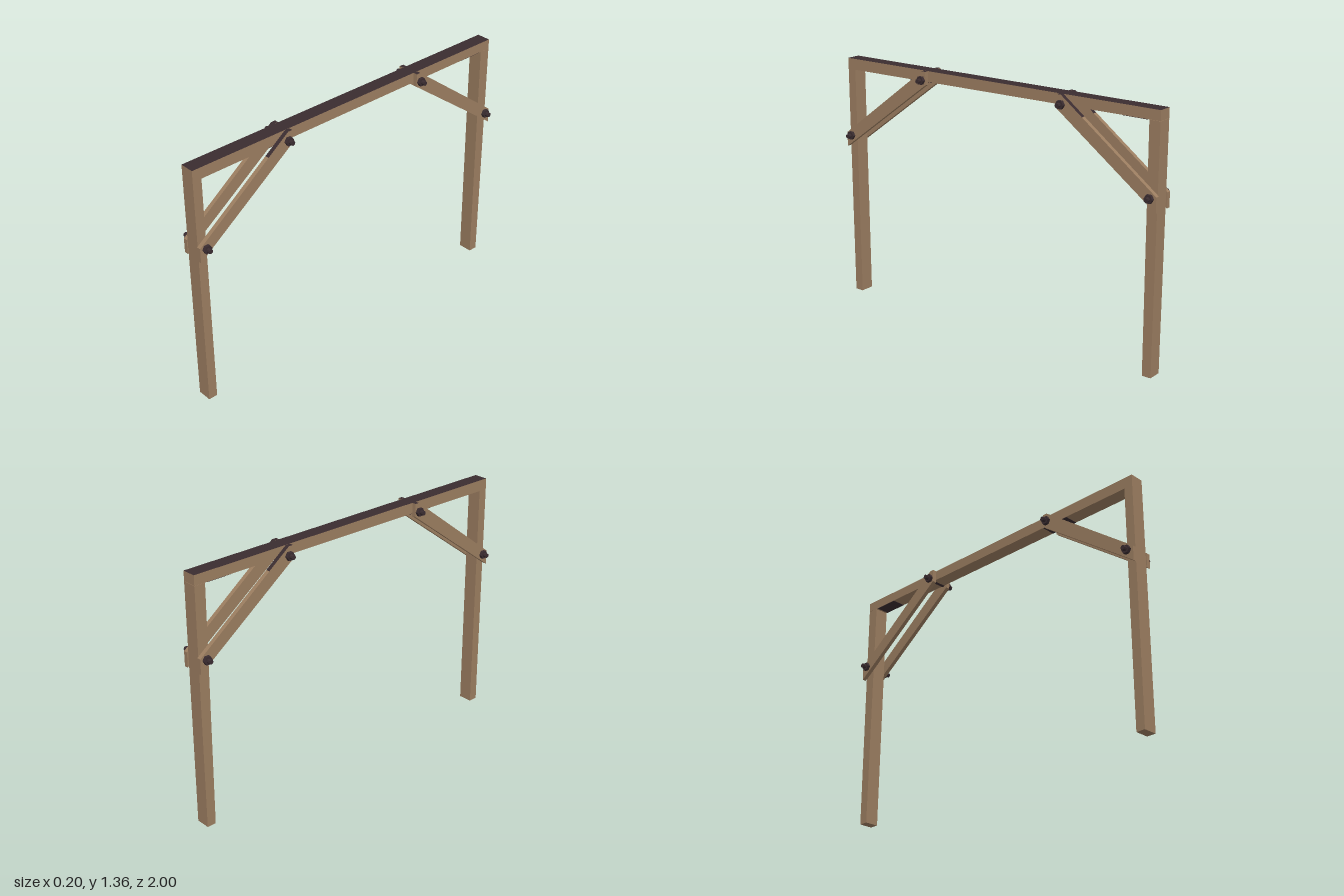
import * as THREE from 'three';

const wood = new THREE.MeshStandardMaterial({ color: 0x9b7d60 });
wood.name = 'wood';
const dark = new THREE.MeshStandardMaterial({ color: 0x3a2c30 });
dark.name = 'darkBrown';

function addMesh(parent, name, geometry, material) {
  const mesh = new THREE.Mesh(geometry, material);
  mesh.name = name;
  parent.add(mesh);
  return mesh;
}

// Box given by its limits: [min, max] on each axis
function boxBetween(x, y, z) {
  const g = new THREE.BoxGeometry(x[1] - x[0], y[1] - y[0], z[1] - z[0]);
  return g.translate((x[0] + x[1]) / 2, (y[0] + y[1]) / 2, (z[0] + z[1]) / 2);
}

// Move every vertex by a rule, then refresh normals
function reshape(geometry, rule) {
  const p = geometry.attributes.position;
  const v = new THREE.Vector3();
  for (let i = 0; i < p.count; i++) {
    rule(v.fromBufferAttribute(p, i));
    p.setXYZ(i, v.x, v.y, v.z);
  }
  geometry.computeVertexNormals();
  return geometry;
}

// Diagonal plank; the upper stretch of its top edge is dark
function braceGeometry(end) {
  const outline = [[1, 0.865], [1, 0.945], [0.57, 1.268], [0.445, 1.362], [0.42, 1.362], [0.42, 1.29]];
  const shape = new THREE.Shape(outline.map(([z, y]) => new THREE.Vector2(z * end, y)));
  const g = new THREE.ExtrudeGeometry(shape, { depth: 0.023, bevelEnabled: false });
  g.rotateY(-Math.PI / 2).translate(0.0115, 0, 0);
  const p = g.attributes.position;
  const n = g.attributes.normal;
  g.clearGroups();
  for (let i = 0; i < p.count; i += 3) {
    const z = Math.abs(p.getZ(i) + p.getZ(i + 1) + p.getZ(i + 2)) / 3;
    g.addGroup(i, 3, n.getY(i) > 0.3 && z < 0.57 ? 1 : 0);
  }
  return g;
}

// Rod through both planks with a hexagonal nut on each side
function bolt(y, z) {
  const group = new THREE.Group();
  group.name = 'bolt';
  const rod = new THREE.CylinderGeometry(0.0125, 0.0125, 0.2, 8).rotateZ(Math.PI / 2);
  addMesh(group, 'boltRod', rod.toNonIndexed(), dark).geometry.computeVertexNormals();
  for (const side of [-1, 1]) {
    const nut = new THREE.CylinderGeometry(0.024, 0.024, 0.017, 6).rotateZ(Math.PI / 2).toNonIndexed();
    nut.computeVertexNormals();
    addMesh(group, 'nut', nut, dark).position.x = side * 0.0715;
  }
  group.position.set(0, y, z);
  return group;
}

export function createModel() {
  const model = new THREE.Group();
  model.name = 'timberFrame';
  const w = [-0.039, 0.039];

  // Top beam, slightly thinner toward the back, with a dark upper face
  const underside = (z) => 1.305 - 0.004 * z;
  const beam = reshape(boxBetween(w, [1.3, 1.362], [-0.993, 0.996]), (v) => {
    if (v.y < 1.33) v.y = underside(v.z);
  });
  addMesh(model, 'topBeam', beam, [wood, wood, dark, wood, wood, wood]);

  // Dark stains under the beam
  for (const [z0, z1] of [[0.4, 0.56], [-0.92, -0.78]]) {
    const y = underside((z0 + z1) / 2);
    addMesh(model, 'beamStain', boxBetween([-0.038, 0.038], [y - 0.002, y + 0.002], [z0, z1]), dark);
  }

  // Posts; the back one widens a little toward the top
  addMesh(model, 'frontPost', boxBetween(w, [0, 1.302], [0.946, 0.996]), wood);
  const backPost = reshape(boxBetween(w, [0, 1.308], [-0.993, -0.943]), (v) => {
    if (v.z > -0.95 && v.y > 1) v.z = -0.932;
  });
  addMesh(model, 'backPost', backPost, wood);

  // Paired braces and their bolts at both ends
  for (const end of [1, -1]) {
    for (const side of [1, -1]) {
      addMesh(model, 'brace', braceGeometry(end), [wood, dark]).position.x = side * 0.0515;
    }
    model.add(bolt(0.933, 0.964 * end), bolt(1.314, 0.446 * end));
  }
  return model;
}
